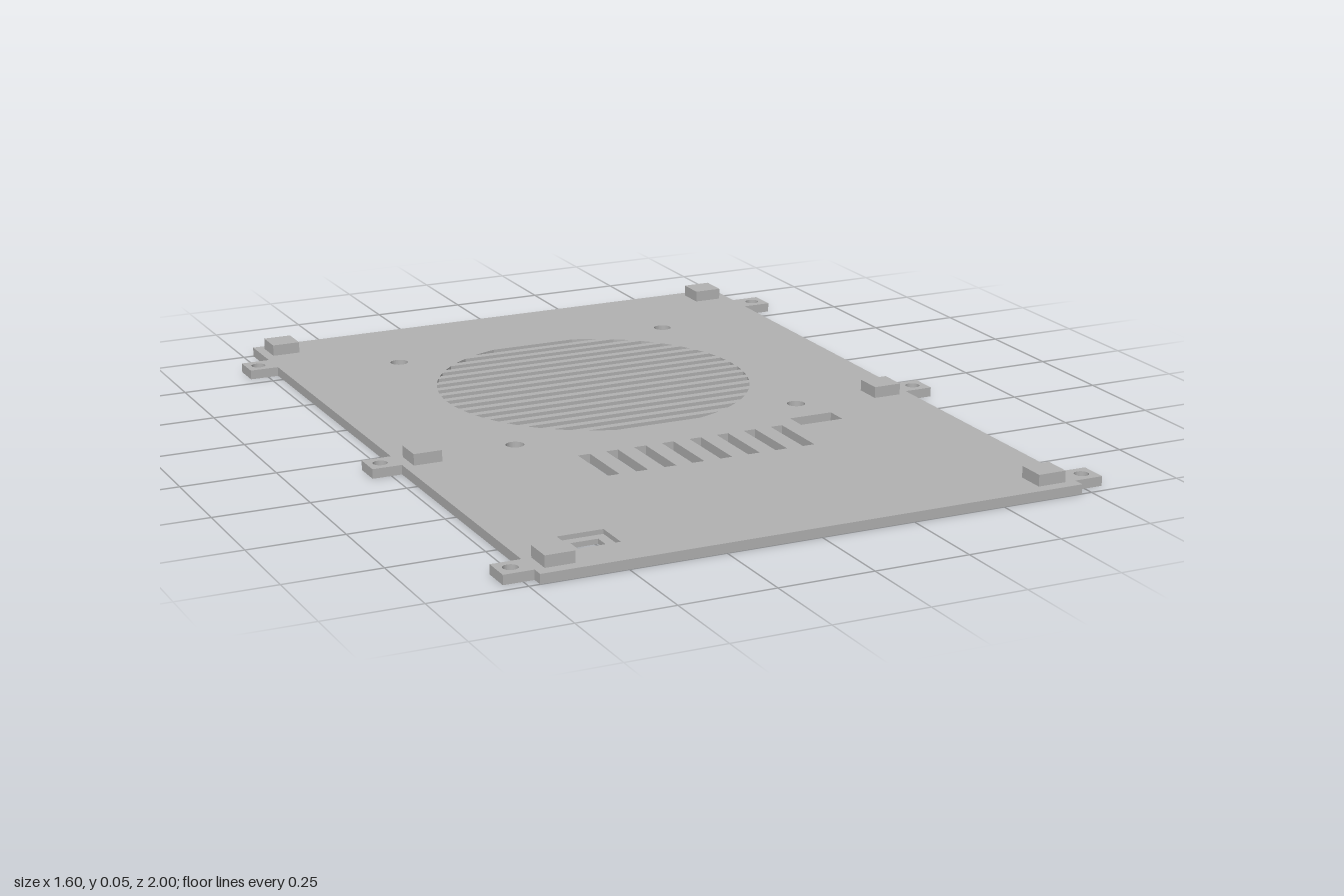
import * as THREE from 'three';

const THICK = 0.025;
const HALF_W = 0.722;

// Outlines are drawn with (x, z) seen from above; shape y is -z.
const outline = (pts, Type = THREE.Path) =>
  new Type(pts.map(([x, z]) => new THREE.Vector2(x, -z)));

const rect = (x0, x1, z0, z1, Type) =>
  outline([[x0, z1], [x1, z1], [x1, z0], [x0, z0]], Type);

const circle = (x, z, r) => new THREE.Path().absarc(x, -z, r, 0, Math.PI * 2, true);

// Slot across a disc, with ends following the disc's edge
function grilleSlot(cz, radius, offset, half) {
  const right = [], left = [];
  for (let i = 0; i <= 4; i++) {
    const d = offset - half + (i / 4) * half * 2;
    const x = Math.sqrt(radius * radius - d * d);
    right.push([x, cz + d]);
    left.unshift([-x, cz + d]);
  }
  return outline([...right, ...left]);
}

// Flat sheet standing on y = 0
function sheet(shape, holes, depth) {
  shape.holes.push(...holes);
  const geo = new THREE.ExtrudeGeometry(shape, { depth, bevelEnabled: false, curveSegments: 16 });
  return geo.rotateX(-Math.PI / 2);
}

export function createModel() {
  const model = new THREE.Group();
  const grey = new THREE.MeshStandardMaterial({ color: 0xb3b3b3 });
  grey.name = 'grey';
  const add = (name, geo) => {
    const mesh = new THREE.Mesh(geo, grey);
    mesh.name = name;
    model.add(mesh);
    return mesh;
  };

  const holes = [];
  // Round fan grille
  const fanZ = -0.285;
  for (let i = -8; i <= 8; i++) holes.push(grilleSlot(fanZ, 0.422, i * 0.0489, 0.0135));
  // Fan screw holes
  for (const x of [-0.404, 0.404])
    for (const z of [fanZ - 0.404, fanZ + 0.404]) holes.push(circle(x, z, 0.024));
  // Row of vent slots
  for (let i = 0; i < 8; i++) {
    const x = -0.28 + i * 0.078;
    holes.push(rect(x - 0.0165, x + 0.0165, 0.268, 0.443));
  }
  // Connector opening
  holes.push(rect(0.329, 0.45, 0.226, 0.287));
  // Pocket around the small window
  const pocket = [-0.588, -0.468, 0.79, 0.886];
  holes.push(rect(...pocket));
  add('coverPlate', sheet(rect(-HALF_W, HALF_W, -1, 1, THREE.Shape), holes, THICK));

  // Thin pocket floor with its window
  add('pocketFloor', sheet(rect(...pocket, THREE.Shape),
    [rect(-0.564, -0.493, 0.815, 0.862)], 0.013));

  // Mounting tabs with screw holes
  for (const side of [-1, 1]) {
    for (const z of [-0.827, 0.109, 0.931]) {
      const xs = [side * HALF_W, side * 0.8].sort((a, b) => a - b);
      add('mountingTab', sheet(rect(xs[0], xs[1], z - 0.038, z + 0.038, THREE.Shape),
        [circle(side * 0.765, z, 0.019)], THICK));
    }
  }

  // Raised spacer blocks
  for (const x of [-0.659, 0.655]) {
    for (const z of [-0.936, 0.127, 0.931]) {
      add('spacerBlock', new THREE.BoxGeometry(0.076, 0.03, 0.076))
        .position.set(x, THICK + 0.015, z);
    }
  }
  return model;
}
